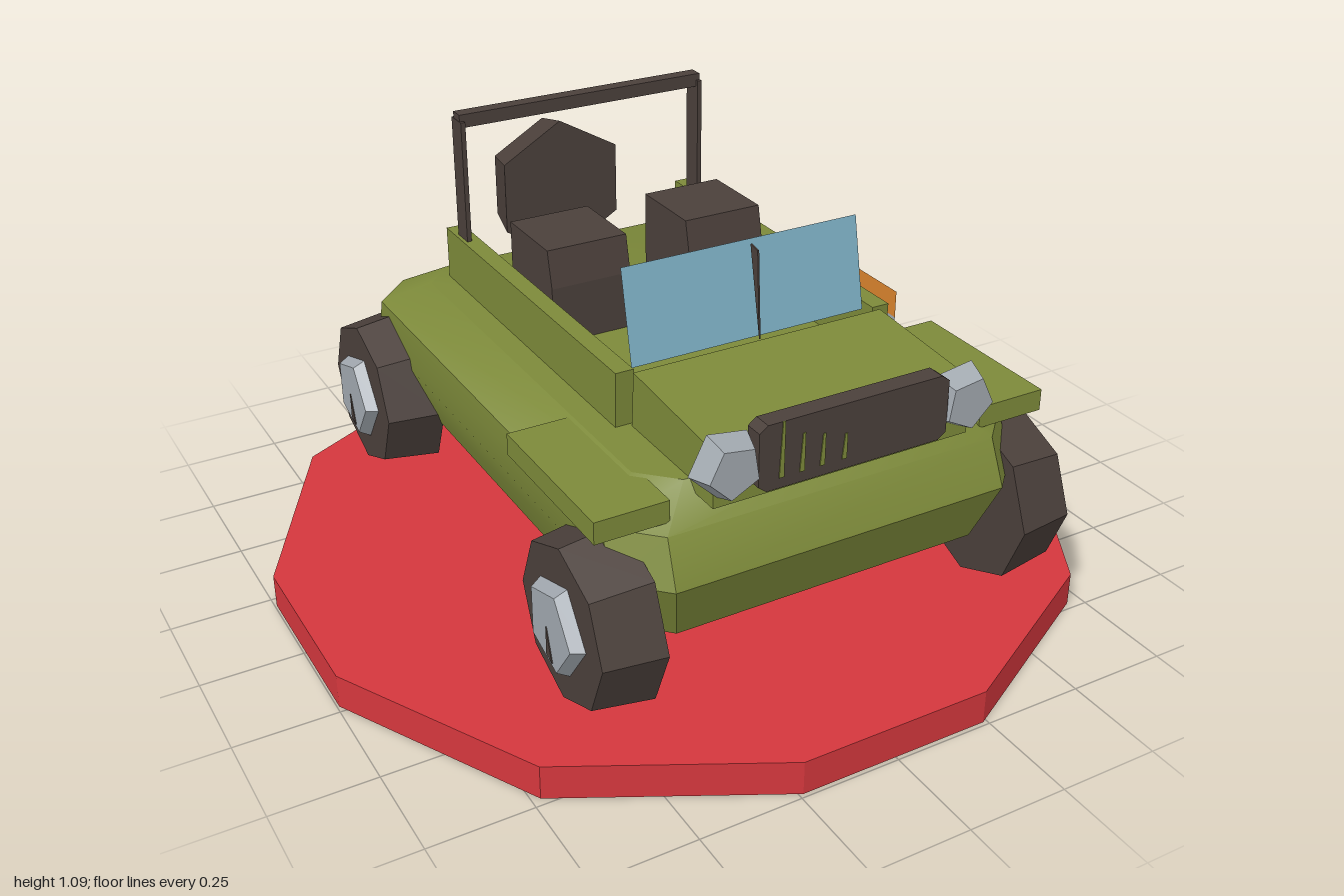
import * as THREE from 'three';
import { toCreasedNormals } from 'three/addons/utils/BufferGeometryUtils.js';

const mat = (name, color, extra = {}) => {
  const m = new THREE.MeshStandardMaterial({ color, flatShading: true, ...extra });
  m.name = name;
  return m;
};
const both = { side: THREE.DoubleSide };

// Extrudes a polygon of [a, b] points along +z
const prism = (points, depth) => new THREE.ExtrudeGeometry(
  new THREE.Shape(points.map(([a, b]) => new THREE.Vector2(a, b))), { depth, bevelEnabled: false });

// Extrudes a side profile of [z, y] points along x, centred on x
const sideProfile = (points, width, x = 0) =>
  prism(points.map(([z, y]) => [-z, y]), width).rotateY(Math.PI / 2).translate(x - width / 2, 0, 0);

// Closed hull from horizontal chamfered rectangles: [y, half width, back z, front z, chamfer]
function hull(levels) {
  const pos = [], index = [], n = 8;
  for (const [y, x, b, f, c] of levels) {
    const ring = [[x, f - c], [x, b + c], [x - c, b], [c - x, b], [-x, b + c], [-x, f - c], [c - x, f], [x - c, f]];
    for (const [px, pz] of ring) pos.push(px, y, pz);
  }
  for (let l = 0; l < levels.length - 1; l++) {
    for (let i = 0; i < n; i++) {
      const a = l * n + i, b = l * n + (i + 1) % n;
      index.push(a, b, b + n, a, b + n, a + n);
    }
  }
  const top = (levels.length - 1) * n;
  for (let i = 1; i < n - 1; i++) index.push(top, top + i, top + i + 1, 0, i + 1, i);
  const g = new THREE.BufferGeometry();
  g.setAttribute('position', new THREE.Float32BufferAttribute(pos, 3));
  g.setIndex(index);
  return g;
}

export function createModel() {
  const model = new THREE.Group();
  model.name = 'jeepOnStand';
  const red = mat('standRed', 0xd4373d);
  const olive = mat('bodyOlive', 0x7d8a3a);
  const oliveSmooth = olive;
  const dark = mat('darkBrown', 0x4b403b, both);
  const silver = mat('silver', 0xa2a9b0, both);
  const glass = mat('glassBlue', 0x7db0c4, both);
  const orange = mat('flagOrange', 0xdb842e, both);
  const green = mat('flagGreen', 0x1f8a4c, both);
  olive.flatShading = false;

  const add = (name, geometry, material, x = 0, y = 0, z = 0) => {
    const m = new THREE.Mesh(geometry, material);
    m.name = name;
    m.position.set(x, y, z);
    model.add(m);
    return m;
  };
  // Box given by its extents
  const box = (name, material, x0, x1, y0, y1, z0, z1) =>
    add(name, new THREE.BoxGeometry(x1 - x0, y1 - y0, z1 - z0), material,
      (x0 + x1) / 2, (y0 + y1) / 2, (z0 + z1) / 2);

  // Stand: irregular many-sided disc
  const rim = [[0, -1], [0.3, -0.96], [0.73, -0.71], [0.99, -0.24], [0.96, 0.3], [0.71, 0.73], [0.24, 0.99],
    [-0.24, 0.99], [-0.73, 0.73], [-0.995, 0.23], [-0.995, -0.22], [-0.72, -0.73], [-0.25, -0.98]];
  add('stand', prism(rim.map(([x, z]) => [x, -z]).reverse(), 0.085).rotateX(-Math.PI / 2), red);

  // Main body
  add('body', toCreasedNormals(hull([
    [0.24, 0.37, -0.62, 0.62, 0.05],
    [0.29, 0.47, -0.71, 0.71, 0.08],
    [0.44, 0.525, -0.755, 0.77, 0.1],
    [0.55, 0.52, -0.73, 0.725, 0.1],
    [0.625, 0.42, -0.6, 0.65, 0.08],
  ]), 0.6), oliveSmooth);

  // Hood, with its rear face closing the cabin
  add('hood', sideProfile([[0.745, 0.6], [0.745, 0.735], [0.405, 0.76], [0.395, 0.6]], 0.65), olive);

  // Cabin walls and front fenders
  for (const s of [-1, 1]) {
    add('cabinWall', sideProfile([[0.385, 0.61], [0.39, 0.76], [-0.54, 0.76], [-0.54, 0.61]], 0.045, s * 0.338), olive);
    box('fender', olive, s * 0.488 - 0.088, s * 0.488 + 0.088, 0.567, 0.62, 0.285, 0.7);
  }

  // Seats
  for (const x of [-0.195, 0.18]) {
    add('seat', sideProfile([[-0.045, 0.61], [-0.045, 0.77], [-0.065, 0.862], [-0.27, 0.862], [-0.27, 0.61]], 0.21, x), dark);
  }

  // Windscreen leaning back, with a thin centre fin
  const pane = add('windscreen', new THREE.PlaneGeometry(0.61, 0.226), glass, -0.008, 0.865, 0.352);
  pane.rotation.x = -0.2;
  add('windscreenFin', sideProfile([[0.4, 0.76], [0.385, 0.97], [0.355, 0.975]], 0.004), dark);

  // Roll bar
  for (const x of [-0.345, 0.325]) box('rollBarPost', dark, x - 0.006, x + 0.006, 0.62, 1.075, -0.485, -0.428);
  box('rollBar', dark, -0.35, 0.33, 1.058, 1.092, -0.475, -0.438);

  // Grille with slots
  add('grille', prism([[-0.245, 0.65], [-0.225, 0.635], [0.21, 0.635], [0.23, 0.65], [0.23, 0.775],
    [0.21, 0.79], [-0.225, 0.79], [-0.245, 0.775]], 0.045), dark, 0, 0, 0.745);
  [[-0.19, 0.13], [-0.14, 0.09], [-0.09, 0.075], [-0.035, 0.06]].forEach(([x, h]) =>
    add('grilleSlot', prism([[x - 0.006, 0.66], [x + 0.006, 0.66], [x + 0.006, 0.66 + h], [x, 0.66 + h]], 0.003),
      olive, 0, 0, 0.789));

  // Headlights
  for (const s of [-1, 1]) {
    const lamp = add('headlight', new THREE.CylinderGeometry(0.062, 0.082, 0.055, 5)
      .rotateX(Math.PI / 2), silver, s * 0.295 - 0.008, 0.705, 0.77);
    lamp.rotation.z = s * 0.15;
  }

  // Wheels with hubs
  for (const s of [-1, 1]) {
    for (const z of [0.605, -0.58]) {
      const wheel = new THREE.Group();
      wheel.name = 'wheel';
      const part = (name, geometry, material, x) => {
        const m = new THREE.Mesh(geometry.rotateZ(-s * Math.PI / 2), material);
        m.name = name;
        m.position.x = s * x;
        wheel.add(m);
      };
      part('tire', new THREE.CylinderGeometry(0.19, 0.21, 0.145, 8), dark, 0.538);
      part('hub', new THREE.CylinderGeometry(0.1, 0.12, 0.035, 5), silver, 0.622);
      const mark = new THREE.Mesh(sideProfile([[-0.01, 0], [0.015, -0.08], [-0.012, -0.07]], 0.004, s * 0.64), dark);
      mark.name = 'hubSlot';
      wheel.add(mark);
      wheel.position.set(0, 0.325, z);
      model.add(wheel);
    }
  }

  // Spare wheel on the tail
  add('spareTire', new THREE.CylinderGeometry(0.165, 0.19, 0.11, 6).rotateX(-Math.PI / 2), dark, 0, 0.778, -0.657);
  add('spareHub', new THREE.CylinderGeometry(0.075, 0.085, 0.012, 5).rotateX(-Math.PI / 2), silver, 0, 0.778, -0.715);

  // Striped flag beside the body
  [green, silver, orange].forEach((m, i) =>
    add('flagStripe', new THREE.PlaneGeometry(0.325, 0.074).rotateY(Math.PI / 2), m, 0.64, 0.407 + i * 0.0735, -0.107));

  return model;
}
